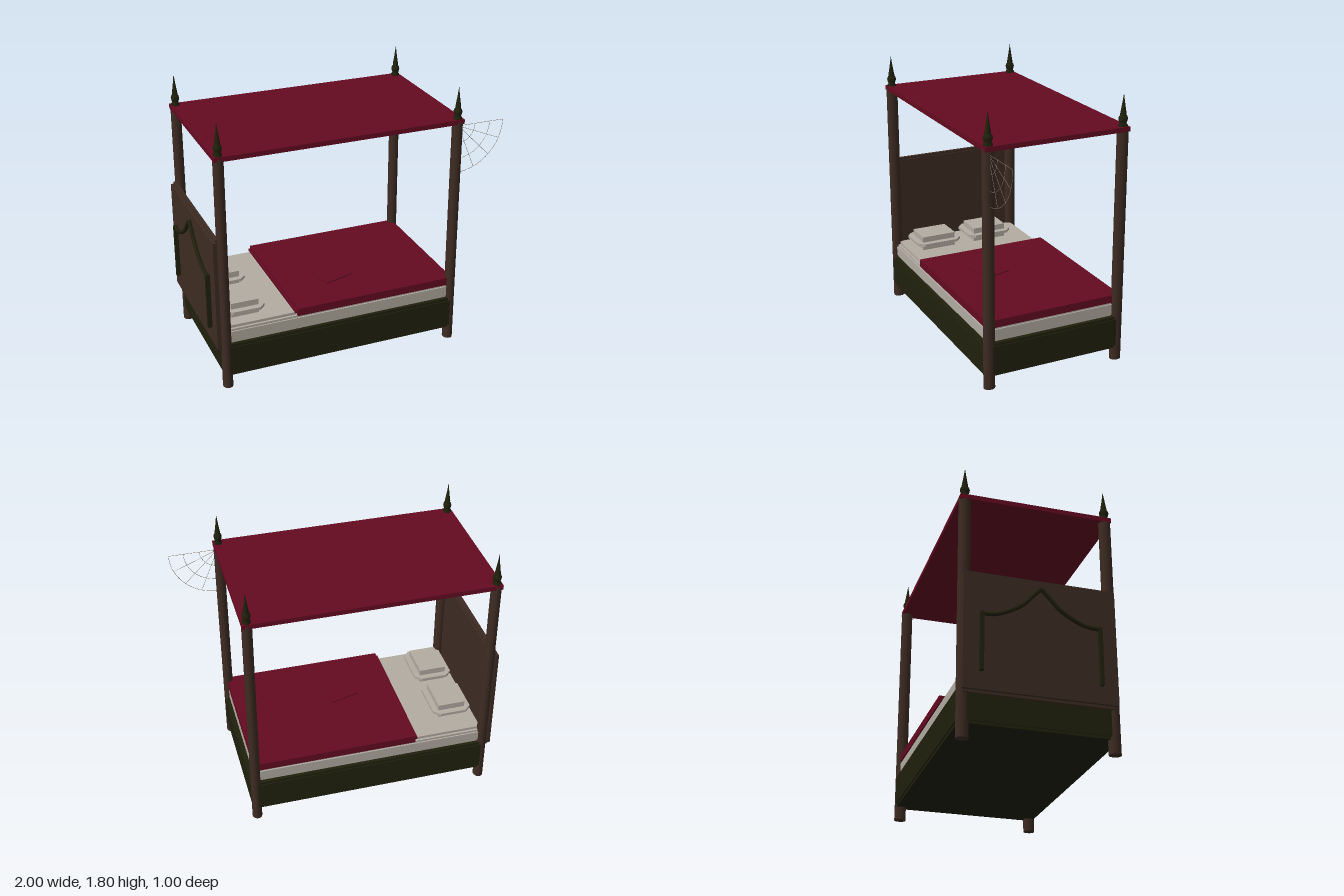
import * as THREE from 'three';

export function createModel() {
  const model = new THREE.Group();
  model.name = 'canopyBed';

  const material = (name, color) => {
    const m = new THREE.MeshStandardMaterial({ color });
    m.name = name;
    return m;
  };
  const wood = material('brown wood', 0x3d2b22);
  const olive = material('dark olive wood', 0x20200d);
  const crimson = material('crimson cloth', 0x640a20);
  const linen = material('pale linen', 0xb2aca1);
  const silk = material('web silk', 0x8f8474);

  const add = (name, geometry, mat, parent = model) => {
    const mesh = new THREE.Mesh(geometry, mat);
    mesh.name = name;
    parent.add(mesh);
    return mesh;
  };
  // box given by its minimum and maximum corners
  const box = (name, mat, x0, x1, y0, y1, z0, z1, parent = model) => {
    const mesh = add(name, new THREE.BoxGeometry(x1 - x0, y1 - y0, z1 - z0), mat, parent);
    mesh.position.set((x0 + x1) / 2, (y0 + y1) / 2, (z0 + z1) / 2);
    return mesh;
  };

  // four slightly oval posts with pointed finials
  const finialProfile = [
    [0, 1.57], [0.027, 1.57], [0.027, 1.605], [0.019, 1.615], [0.024, 1.63], [0.027, 1.645],
    [0.023, 1.66], [0.017, 1.667], [0.018, 1.675], [0.009, 1.735], [0, 1.805],
  ].map(([r, y]) => new THREE.Vector2(r, y));
  for (const x of [-0.911, 0.668]) {
    for (const z of [-0.46, 0.46]) {
      const corner = new THREE.Group();
      corner.name = 'bedPost';
      corner.position.set(x, 0, z);
      corner.scale.z = 1.17;
      model.add(corner);
      const post = add('post', new THREE.CylinderGeometry(0.033, 0.033, 1.58, 20), wood, corner);
      post.position.y = 0.79;
      add('finial', new THREE.LatheGeometry(finialProfile, 16), olive, corner);
    }
  }

  // canopy cloth
  box('canopy', crimson, -0.944, 0.701, 1.566, 1.597, -0.494, 0.494);

  // bed frame: boards running between the posts, each with a raised panel
  box('sideBoards', olive, -0.9, 0.66, 0.088, 0.313, -0.489, 0.489);
  box('sidePanels', olive, -0.9, 0.66, 0.107, 0.294, -0.497, 0.497);
  box('endBoards', olive, -0.932, 0.692, 0.088, 0.313, -0.445, 0.445);
  box('endPanels', olive, -0.938, 0.699, 0.107, 0.294, -0.445, 0.445);

  // mattress in stepped layers
  box('mattressBase', linen, -0.905, 0.664, 0.3, 0.33, -0.466, 0.466);
  box('mattress', linen, -0.913, 0.672, 0.328, 0.396, -0.475, 0.475);
  box('mattressTop', linen, -0.905, 0.664, 0.39, 0.41, -0.466, 0.466);
  box('sheet', linen, -0.895, 0.655, 0.405, 0.428, -0.45, 0.45);

  // blanket, its rolled edge and a folded cloth on top
  box('blanket', crimson, -0.43, 0.674, 0.41, 0.462, -0.476, 0.476);
  box('blanketEdge', crimson, -0.445, -0.42, 0.43, 0.445, -0.468, 0.468);
  const fold = add('foldedCloth', new THREE.BoxGeometry(0.213, 0.008, 0.182), crimson);
  fold.position.set(-0.055, 0.464, 0.122);
  fold.rotation.y = 0.28;

  // pillows with a wide flange, cut at the corners, around the middle
  const [a, b, cut] = [0.1325, 0.165, 0.042];
  const flangeShape = new THREE.Shape([
    [a, b - cut], [a - cut, b], [cut - a, b], [-a, b - cut],
    [-a, cut - b], [cut - a, -b], [a - cut, -b], [a, cut - b],
  ].map(([x, y]) => new THREE.Vector2(x, y)));
  const flangeGeometry = new THREE.ExtrudeGeometry(flangeShape, { depth: 0.019, bevelEnabled: false });
  flangeGeometry.rotateX(-Math.PI / 2);
  for (const z of [0.235, -0.165]) {
    const pillow = new THREE.Group();
    pillow.name = 'pillow';
    model.add(pillow);
    box('cushion', linen, -0.84, -0.655, 0.425, 0.526, z - 0.123, z + 0.123, pillow);
    add('flange', flangeGeometry, linen, pillow).position.set(-0.7475, 0.467, z);
  }

  // headboard of two stacked boards with a thin cap
  box('headboard', wood, -0.955, -0.926, 0.27, 1.035, -0.467, 0.467);
  box('headboardCap', wood, -0.955, -0.934, 1.03, 1.053, -0.467, 0.467);
  box('headboardBack', wood, -0.972, -0.95, 0.287, 1.035, -0.477, 0.477);

  // pointed ogee moulding on the outside of the headboard
  const moulding = new THREE.Group();
  moulding.name = 'archMoulding';
  model.add(moulding);
  for (const s of [-1, 1]) {
    box('upright', olive, -1, -0.97, 0.4, 0.775, s * 0.368 - 0.011, s * 0.368 + 0.011, moulding);
    const curve = new THREE.CatmullRomCurve3(
      [[0.37, 0.765], [0.29, 0.77], [0.2, 0.805], [0.11, 0.865], [0.05, 0.93], [0, 0.982]]
        .map(([z, y]) => new THREE.Vector3(-0.986, y, s * z)));
    add('archCurve', new THREE.TubeGeometry(curve, 24, 0.013, 8), olive, moulding);
  }

  // quarter-circle cobweb hanging from the front foot post
  const web = new THREE.Group();
  web.name = 'cobweb';
  web.position.set(0.676, 1.545, 0.46);
  model.add(web);
  const radius = 0.322, thread = 0.0013;
  for (let i = 0; i <= 4; i++) {
    const spoke = add('spoke', new THREE.CylinderGeometry(thread, thread, radius, 5), silk, web);
    const angle = -i * Math.PI / 8;
    spoke.position.set(Math.cos(angle) * radius / 2, Math.sin(angle) * radius / 2, 0);
    spoke.rotation.z = angle - Math.PI / 2;
  }
  for (const r of [0.12, 0.225, radius]) {
    const ring = add('ring', new THREE.TorusGeometry(r, thread, 5, 24, Math.PI / 2), silk, web);
    ring.rotation.z = -Math.PI / 2;
  }

  return model;
}
